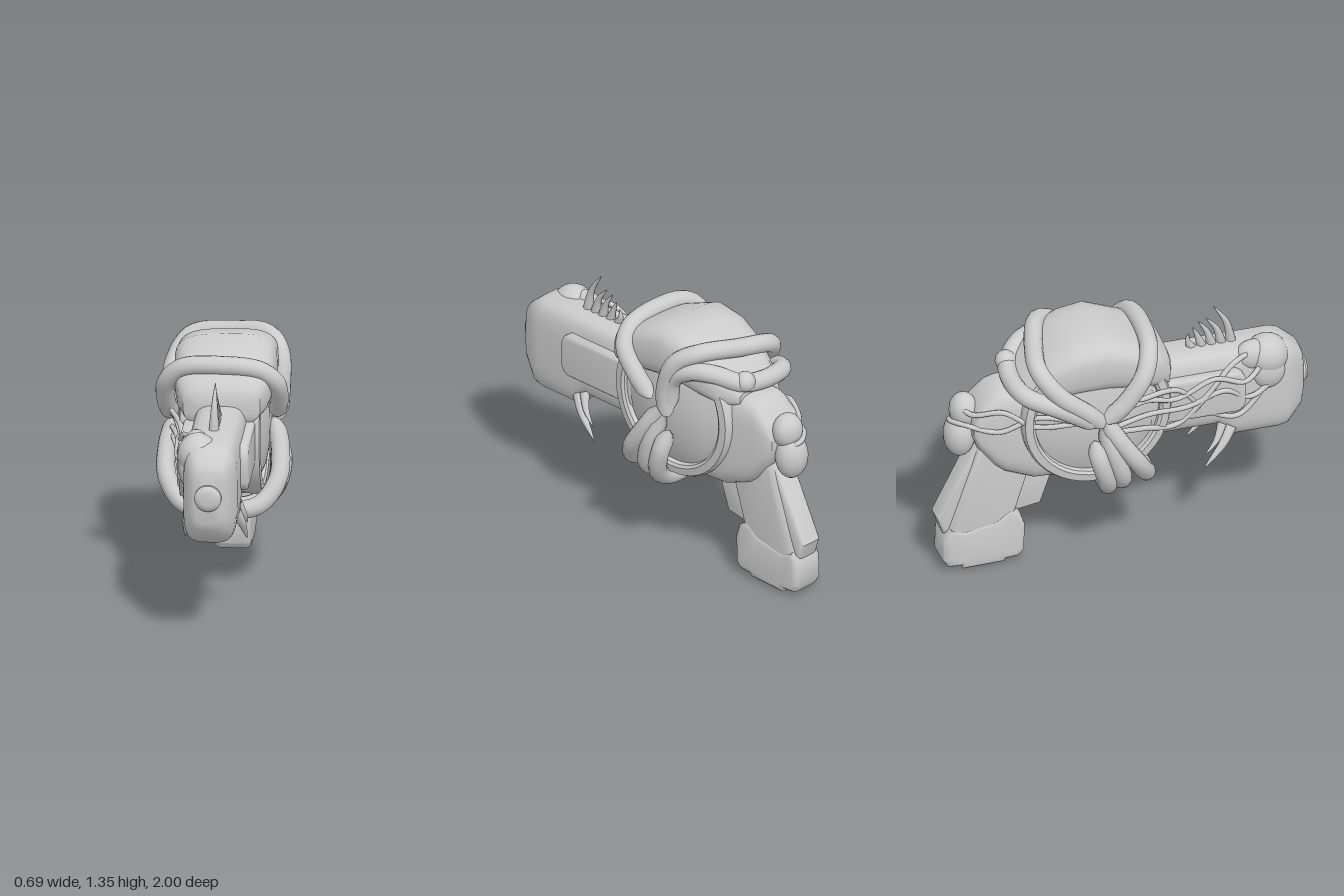
import * as THREE from 'three';
import { toCreasedNormals } from 'three/addons/utils/BufferGeometryUtils.js';

const material = new THREE.MeshStandardMaterial({ color: 0xcccccc, side: THREE.DoubleSide });

// Skin over rounded-box sections [z, bottom, top, halfWidth], listed front to back
function loft(sections, power, n = 32) {
  const pos = [], index = [];
  const soft = (v) => Math.sign(v) * Math.abs(v) ** (2 / power);
  for (const [z, y0, y1, w] of sections) {
    for (let j = 0; j < n; j++) {
      const a = (j / n) * Math.PI * 2;
      pos.push(w * soft(Math.cos(a)), (y0 + y1) / 2 + ((y1 - y0) / 2) * soft(Math.sin(a)), z);
    }
  }
  for (let i = 0; i < sections.length - 1; i++) {
    for (let j = 0; j < n; j++) {
      const a = i * n + j, b = i * n + ((j + 1) % n);
      index.push(a, a + n, b, b, a + n, b + n);
    }
  }
  // close both ends with a fan
  for (const [k, front] of [[0, true], [sections.length - 1, false]]) {
    const [z, y0, y1] = sections[k], c = pos.length / 3;
    pos.push(0, (y0 + y1) / 2, z);
    for (let j = 0; j < n; j++) {
      const a = k * n + j, b = k * n + ((j + 1) % n);
      index.push(...(front ? [c, a, b] : [c, b, a]));
    }
  }
  const g = new THREE.BufferGeometry();
  g.setAttribute('position', new THREE.Float32BufferAttribute(pos, 3));
  g.setIndex(index);
  return toCreasedNormals(g, 0.7);
}

// Side outline of [z, y] points, thickened along x and bevelled
function slab(points, width, bevel) {
  const shape = new THREE.Shape(points.map(([z, y]) => new THREE.Vector2(-z, y)));
  const g = new THREE.ExtrudeGeometry(shape, {
    depth: width - 2 * bevel, bevelSize: bevel, bevelThickness: bevel, bevelOffset: -bevel, bevelSegments: 3,
  });
  g.translate(0, 0, -(width - 2 * bevel) / 2).rotateY(Math.PI / 2);
  return toCreasedNormals(g, 0.7);
}

// Tube through points whose radius follows profile(t)
function taperedTube(points, radius, profile, segments = 48, sides = 12) {
  const curve = new THREE.CatmullRomCurve3(points.map((p) => new THREE.Vector3(...p)));
  const g = new THREE.TubeGeometry(curve, segments, radius, sides);
  const p = g.attributes.position, v = new THREE.Vector3();
  for (let i = 0; i <= segments; i++) {
    const c = curve.getPointAt(i / segments), s = profile(i / segments);
    for (let j = 0; j <= sides; j++) {
      const k = i * (sides + 1) + j;
      v.fromBufferAttribute(p, k).sub(c).multiplyScalar(s).add(c);
      p.setXYZ(k, v.x, v.y, v.z);
    }
  }
  return g;
}
const roundEnds = (t) => Math.min(1, Math.sqrt(Math.min(t, 1 - t) / 0.05));
const pointed = (t) => (1 - t * 0.99) ** 0.75;
const mirrored = (half) => [...half, ...half.slice().reverse().filter(([x]) => x > 0.01).map(([x, y, z]) => [-x, y, z])];

export function createModel() {
  const model = new THREE.Group();
  const add = (name, geometry, position = [0, 0, 0], scale = [1, 1, 1]) => {
    const mesh = new THREE.Mesh(geometry, material);
    mesh.name = name;
    mesh.position.set(...position);
    mesh.scale.set(...scale);
    model.add(mesh);
    return mesh;
  };
  const ball = (name, position, scale) => add(name, new THREE.SphereGeometry(1, 24, 16), position, scale);

  // Barrel with chamfered nose and rounded muzzle
  add('barrel', loft([
    [0.965, 0.69, 0.97, 0.07], [0.95, 0.65, 1.0, 0.095], [0.87, 0.56, 1.065, 0.135], [0.82, 0.55, 1.08, 0.14],
    [0.58, 0.55, 1.08, 0.14], [0.5, 0.63, 1.08, 0.14], [-0.1, 0.63, 1.08, 0.14],
  ], 4), [0.005, 0, 0]);
  add('muzzle', loft([[1.0, 0.8, 0.87, 0.035], [0.995, 0.78, 0.89, 0.055], [0.98, 0.765, 0.905, 0.07], [0.94, 0.765, 0.905, 0.07]], 2), [0.005, 0, 0]);

  // Growth on the top corner of the barrel
  ball('barrelGrowth', [-0.065, 1.0, 0.765], [0.105, 0.115, 0.115]);
  ball('barrelGrowthTail', [-0.08, 1.02, 0.69], [0.065, 0.085, 0.1]);
  ball('barrelGrowthSide', [-0.115, 0.93, 0.76], [0.05, 0.1, 0.09]);

  // Side panels
  const panel = [[0.1, 0.75], [0.58, 0.75], [0.61, 0.77], [0.625, 0.8], [0.625, 0.94], [0.61, 0.97], [0.58, 0.99], [0.1, 0.99]];
  for (const s of [-1, 1]) add('sidePanel', slab(panel, 0.08, 0.02), [s * 0.145, 0, 0]);

  // Row of back-swept spines
  const spineTips = [[0.5, 1.3], [0.46, 1.235], [0.42, 1.22], [0.39, 1.19], [0.37, 1.155]];
  spineTips.forEach(([z, y], i) => {
    const base = 0.6 - i * 0.052;
    add('spine', taperedTube([[0.005, 1.05, base], [0.005, (1.08 + y) / 2, base - 0.03], [0.005, y, z]], 0.029, pointed, 12, 8));
  });

  // Claws under the barrel
  for (const s of [-1, 1]) {
    add('longClaw', taperedTube([[s * 0.11, 0.63, 0.56], [s * 0.14, 0.55, 0.51], [s * 0.16, 0.425, 0.4]], 0.033, pointed, 14, 8));
    add('shortClaw', taperedTube([[s * 0.12, 0.66, 0.51], [s * 0.15, 0.58, 0.47], [s * 0.165, 0.51, 0.405]], 0.026, pointed, 14, 8));
  }

  // Round drum with raised rims and domed faces
  const drumHalf = [[0.4, 0.13], [0.4, 0.185], [0.39, 0.205], [0.35, 0.21], [0.335, 0.2], [0.33, 0.175], [0.25, 0.21], [0.12, 0.235], [0, 0.24]];
  const profile = [...drumHalf.slice().reverse().map(([r, x]) => [r, -x]), ...drumHalf].map(([r, x]) => new THREE.Vector2(r, x));
  const drum = add('drum', toCreasedNormals(new THREE.LatheGeometry(profile, 48), 0.6), [0, 0.885, -0.185]);
  drum.rotation.z = -Math.PI / 2;

  // Swollen hood over the drum
  const hood = add('hood', loft([
    [0.235, 1.0, 1.12, 0.13], [0.21, 0.97, 1.18, 0.2], [0.14, 0.98, 1.225, 0.235], [0.04, 1.0, 1.27, 0.255],
    [-0.14, 1.02, 1.345, 0.265], [-0.28, 1.02, 1.325, 0.26], [-0.4, 1.0, 1.27, 0.24], [-0.53, 0.98, 1.16, 0.195],
    [-0.61, 1.0, 1.08, 0.12],
  ], 3.3), [0.055, 0, 0]);
  hood.rotation.z = 0.04;

  // Rear housing
  add('rearHousing', loft([
    [-0.25, 0.49, 1.06, 0.18], [-0.5, 0.5, 1.06, 0.17], [-0.65, 0.56, 1.06, 0.15], [-0.7, 0.6, 1.05, 0.14],
    [-0.79, 0.72, 0.97, 0.13], [-0.82, 0.8, 0.9, 0.11],
  ], 4), [0.005, 0, 0]);

  // Grip, butt, back strap and front strap
  add('grip', slab([[-0.5, 0.58], [-0.59, 0.29], [-0.58, 0.08], [-0.9, 0.08], [-0.96, 0.22], [-0.79, 0.72], [-0.6, 0.75]], 0.18, 0.035), [0.005, 0, 0]);
  add('gripButt', slab([
    [-0.62, 0.33], [-0.56, 0.28], [-0.535, 0.21], [-0.54, 0.06], [-0.57, 0.025], [-0.64, 0.02], [-0.65, 0.005], [-0.87, 0],
    [-0.88, 0.02], [-0.95, 0.025], [-0.98, 0.07], [-0.975, 0.2], [-0.94, 0.26], [-0.86, 0.24], [-0.7, 0.27],
  ], 0.19, 0.03), [0.005, 0, 0]);
  add('backStrap', slab([[-0.76, 0.74], [-0.8, 0.71], [-1.0, 0.31], [-0.97, 0.22], [-0.93, 0.24], [-0.74, 0.66]], 0.14, 0.025), [0.005, 0, 0]);
  add('frontStrap', slab([[-0.36, 0.54], [-0.44, 0.3], [-0.56, 0.28], [-0.6, 0.3], [-0.55, 0.56]], 0.085, 0.015), [0.005, 0, 0]);

  // Swollen bulb behind the housing
  ball('bulb', [0.02, 0.915, -0.84], [0.085, 0.095, 0.075]);
  ball('bulbLower', [0.015, 0.775, -0.865], [0.09, 0.125, 0.083]);

  // Thick tentacles wrapped around the drum and hood
  const tentacles = {
    frontUpper: [[0.27, 0.92, -0.11], [0.29, 1.05, -0.01], [0.28, 1.16, 0.07], [0.2, 1.235, 0.105], [0, 1.26, 0.115],
      [-0.2, 1.235, 0.09], [-0.285, 1.14, 0.04], [-0.295, 1.0, -0.06], [-0.27, 0.88, -0.17]],
    rearUpper: [[0.27, 0.85, -0.22], [0.285, 1.04, -0.225], [0.275, 1.2, -0.29], [0.2, 1.265, -0.39], [0, 1.25, -0.47],
      [-0.2, 1.21, -0.5], [-0.28, 1.1, -0.42], [-0.29, 0.96, -0.26], [-0.27, 0.86, -0.17]],
    rearLower: [[0.26, 0.9, -0.23], [0.27, 1.09, -0.26], [0.25, 1.165, -0.36], [0.19, 1.17, -0.48], [0.09, 1.12, -0.58], [-0.06, 1.1, -0.61],
      [-0.22, 1.08, -0.57], [-0.285, 1.02, -0.42], [-0.28, 0.88, -0.2]],
    frontUnder: mirrored([[0.25, 0.89, -0.17], [0.29, 0.76, -0.09], [0.285, 0.61, 0.01], [0.19, 0.49, 0.08], [0, 0.465, 0.09]]),
    middleUnder: mirrored([[0.25, 0.86, -0.17], [0.285, 0.68, -0.12], [0.26, 0.53, -0.07], [0.15, 0.45, -0.05], [0, 0.435, -0.045]]),
    rearUnder: mirrored([[0.25, 0.77, -0.22], [0.295, 0.66, -0.2], [0.26, 0.51, -0.15], [0.15, 0.43, -0.12], [0, 0.415, -0.11]]),
  };
  for (const [name, points] of Object.entries(tentacles)) {
    add(name + 'Tentacle', taperedTube(points, 0.049, roundEnds, 72, 14));
  }
  ball('tentacleKnob', [0.08, 1.13, -0.595], [0.055, 0.055, 0.055]);

  // Thin veins along the right side and around the bulb
  const veins = [
    [[-0.12, 1.0, 0.74], [-0.18, 0.93, 0.62], [-0.19, 0.98, 0.45], [-0.19, 0.9, 0.25], [-0.24, 0.95, 0.05], [-0.28, 0.9, -0.15]],
    [[-0.14, 0.88, 0.78], [-0.16, 0.82, 0.65], [-0.19, 0.9, 0.5], [-0.19, 0.84, 0.3], [-0.23, 0.86, 0.08], [-0.28, 0.84, -0.15]],
    [[-0.1, 1.06, 0.68], [-0.16, 1.03, 0.55], [-0.19, 0.88, 0.4], [-0.18, 0.74, 0.25], [-0.23, 0.78, 0.05], [-0.28, 0.82, -0.15]],
    [[-0.15, 0.85, 0.73], [-0.16, 0.72, 0.58], [-0.17, 0.78, 0.42], [-0.19, 0.95, 0.25], [-0.27, 0.98, 0]],
    [[0.08, 0.84, -0.87], [0.01, 0.87, -0.92], [-0.08, 0.88, -0.86], [-0.15, 0.85, -0.7], [-0.2, 0.93, -0.5], [-0.28, 0.86, -0.2]],
    [[0.02, 0.97, -0.88], [-0.08, 0.94, -0.83], [-0.16, 0.97, -0.68], [-0.2, 0.88, -0.52], [-0.27, 0.9, -0.25]],
  ];
  for (const points of veins) add('vein', taperedTube(points, 0.014, roundEnds, 48, 8));

  return model;
}
